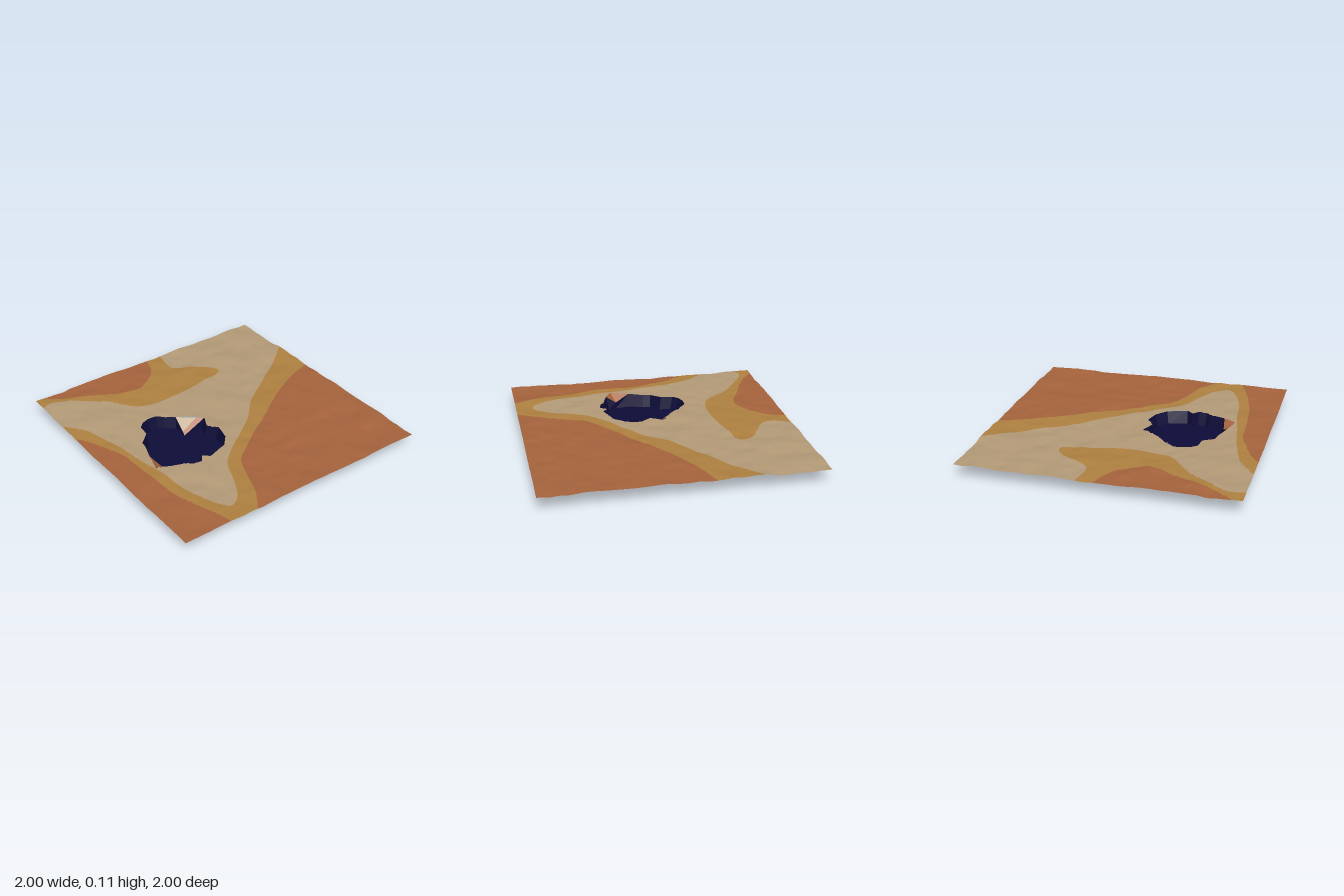
import * as THREE from 'three';

const mat = (name, color) => new THREE.MeshStandardMaterial({ name, color, side: THREE.DoubleSide });

// Seeded value noise for the gentle ripples of the ground
const hash = (i, j) => {
  const s = Math.sin(i * 127.1 + j * 311.7) * 43758.5453;
  return s - Math.floor(s);
};
function noise(x, z) {
  const i = Math.floor(x), j = Math.floor(z);
  const ease = (t) => t * t * (3 - 2 * t);
  const u = ease(x - i), v = ease(z - j), mix = THREE.MathUtils.lerp;
  return mix(mix(hash(i, j), hash(i + 1, j), u), mix(hash(i, j + 1), hash(i + 1, j + 1), u), v);
}
const groundY = (x, z) => 0.092 + 0.014 * noise(x * 6, z * 6) + 0.008 * noise(x * 13 + 40, z * 13);

// Outline: smooth border curve closed by straight corner points
const V = ([x, z]) => new THREE.Vector2(x, z);
function zone(border, corners = []) {
  const curve = new THREE.SplineCurve(border.map(V)).getSpacedPoints(260);
  return { curve, poly: [...curve, ...corners.map(V)] };
}
function inside(poly, x, z) {
  let hit = false;
  for (let i = 0, j = poly.length - 1; i < poly.length; j = i++) {
    const a = poly[i], b = poly[j];
    if ((a.y > z) !== (b.y > z) && x < ((b.x - a.x) * (z - a.y)) / (b.y - a.y) + a.x) hit = !hit;
  }
  return hit;
}

// Ochre margins
const ochreZones = [
  zone([[-1.1, -0.84], [-1, -0.88], [-0.92, -0.9], [-0.83, -0.87], [-0.7, -0.78], [-0.56, -0.67], [-0.47, -0.55],
    [-0.38, -0.47], [-0.2, -0.44], [0, -0.45], [0.2, -0.49], [0.34, -0.51], [0.39, -0.55], [0.35, -0.63],
    [0.25, -0.7], [0.13, -0.77], [0.1, -0.85], [0.13, -1], [0.14, -1.1]], [[-1.1, -1.1]]),
  zone([[1.1, -0.59], [1, -0.53], [0.84, -0.4], [0.67, -0.28], [0.35, -0.06], [0.17, 0.12], [0, 0.25], [-0.18, 0.38],
    [-0.29, 0.49], [-0.37, 0.67], [-0.44, 0.8], [-0.53, 0.87], [-0.59, 0.83], [-0.64, 0.73], [-0.69, 0.55],
    [-0.72, 0.3], [-0.76, 0.1], [-0.79, -0.1], [-0.83, -0.27], [-0.88, -0.43], [-0.94, -0.52], [-1, -0.6], [-1.1, -0.7]],
  [[-1.1, 1.1], [1.1, 1.1]]),
];
// Rust coloured land inside the margins
const rustZones = [
  zone([[-1.0, -1.08], [-0.93, -1], [-0.8, -0.9], [-0.64, -0.82], [-0.5, -0.76], [-0.38, -0.7], [-0.28, -0.68],
    [-0.2, -0.72], [-0.1, -0.79], [-0.03, -0.89], [0, -1], [0.01, -1.1]]),
  zone([[1.1, -0.23], [1, -0.2], [0.8, -0.13], [0.6, -0.03], [0.47, 0.05], [0.28, 0.18], [0.1, 0.29], [-0.05, 0.4],
    [-0.18, 0.5], [-0.25, 0.65], [-0.32, 0.84], [-0.42, 1], [-0.46, 1.1]], [[1.1, 1.1]]),
  zone([[-1.1, -0.5], [-1, -0.4], [-0.93, -0.3], [-0.87, -0.15], [-0.82, 0], [-0.81, 0.2], [-0.78, 0.5], [-0.73, 0.72],
    [-0.67, 0.9], [-0.64, 1], [-0.62, 1.1]], [[-1.1, 1.1]]),
];

// Pit outline; a third value marks a corner that drops below the rim
const pit = [[-0.26, -0.2], [-0.27, -0.07, 0.012], [-0.09, -0.07], [-0.14, 0.03], [-0.08, 0.1], [-0.11, 0.22], [-0.18, 0.3],
  [-0.33, 0.35], [-0.38, 0.31], [-0.42, 0.36], [-0.48, 0.35], [-0.52, 0.32], [-0.63, 0.28], [-0.64, 0.2, 0.05],
  [-0.68, 0.09], [-0.64, -0.02], [-0.63, -0.08], [-0.55, -0.15], [-0.54, -0.24], [-0.5, -0.28],
  [-0.44, -0.3], [-0.37, -0.3], [-0.33, -0.26]];
// The hole in the ground skips the dropped corners
const holePoly = pit.flatMap((p) => (p.length < 3 ? [V(p)] : p[0] < -0.5 ? [V([-0.72, 0.23])] : []));
const holeEdge = holePoly.flatMap((a, i) => {
  const b = holePoly[(i + 1) % holePoly.length];
  return Array.from({ length: 16 }, (_, k) => a.clone().lerp(b, k / 16));
});

// Rippled ground sheet, its grid points pulled onto the zone borders
function makeGround(materials) {
  const N = 150, step = 2 / N, pos = [], groups = [[], [], []];
  const borders = [holeEdge, ...[...ochreZones, ...rustZones].map((z) => z.curve)].flat();
  for (let j = 0; j <= N; j++) for (let i = 0; i <= N; i++) {
    const gx = -1 + i * step, gz = -1 + j * step;
    let x = gx, z = gz, best = (step * 0.56) ** 2;
    for (const p of borders) {
      const d = (p.x - gx) ** 2 + (p.y - gz) ** 2;
      if (d < best) { best = d; x = p.x; z = p.y; }
    }
    if (i === 0 || i === N) x = gx;
    if (j === 0 || j === N) z = gz;
    pos.push(x, groundY(x, z), z);
  }
  const addFace = (...f) => {
    const x = f.reduce((s, v) => s + pos[v * 3], 0) / 3;
    const z = f.reduce((s, v) => s + pos[v * 3 + 2], 0) / 3;
    if (inside(holePoly, x, z)) return;
    const within = (zones) => zones.some((o) => inside(o.poly, x, z));
    groups[within(rustZones) ? 2 : within(ochreZones) ? 1 : 0].push(...f);
  };
  for (let j = 0; j < N; j++) for (let i = 0; i < N; i++) {
    const a = j * (N + 1) + i, b = a + 1, c = a + N + 1, d = c + 1;
    addFace(a, c, b);
    addFace(b, c, d);
  }
  const geo = new THREE.BufferGeometry();
  geo.setAttribute('position', new THREE.Float32BufferAttribute(pos, 3));
  geo.setIndex(groups.flat());
  let start = 0;
  groups.forEach((g, k) => { geo.addGroup(start, g.length, k); start += g.length; });
  geo.computeVertexNormals();
  return new THREE.Mesh(geo, materials);
}

function facets(name, points, material) {
  const geo = new THREE.BufferGeometry().setFromPoints(points);
  geo.computeVertexNormals();
  const mesh = new THREE.Mesh(geo, material);
  mesh.name = name;
  return mesh;
}

export function createModel() {
  const sand = mat('sand', 0xb39a77), ochre = mat('ochre', 0xae8040);
  const rust = mat('rust', 0xa5633c), navy = mat('navy', 0x0e0c38);
  const group = new THREE.Group();
  group.name = 'craterTerrain';

  const ground = makeGround([sand, ochre, rust]);
  ground.name = 'ground';
  group.add(ground);

  // Pit walls and floor
  const P = (x, y, z) => new THREE.Vector3(x, y, z);
  const rim = pit.map(([x, z, y]) => P(x, y ?? groundY(x, z), z));
  const base = pit.map(([x, z, y]) => {
    const k = y ? 1 : 0.92;
    const bx = -0.38 + (x + 0.38) * k, bz = 0.03 + (z - 0.03) * k;
    return P(bx, Math.max(0, (bx + 0.63) * 0.035), bz);
  });
  const walls = rim.flatMap((a, i) => {
    const n = (i + 1) % rim.length;
    return [a, rim[n], base[i], rim[n], base[n], base[i]];
  });
  const floor = THREE.ShapeUtils.triangulateShape(base.map((b) => new THREE.Vector2(b.x, b.z)), [])
    .flatMap(([a, b, c]) => [base[a], base[c], base[b]]);
  group.add(facets('pitWalls', walls, navy), facets('pitFloor', floor, navy));

  // Broken slabs of ground slumping into the pit
  const mid = rim[0].clone().lerp(rim[2], 0.72);
  const low = rim[1].clone().lerp(rim[0], 0.22);
  group.add(facets('slumpedSand', [rim[0], low, mid], sand));
  group.add(facets('slumpedRust', [low, rim[1], mid, rim[1], rim[2], mid], rust));
  const lip = P(-0.72, groundY(-0.72, 0.23), 0.23);
  group.add(facets('leftSlump', [lip, rim[12], rim[13], lip, rim[13], rim[14]], rust));
  return group;
}
